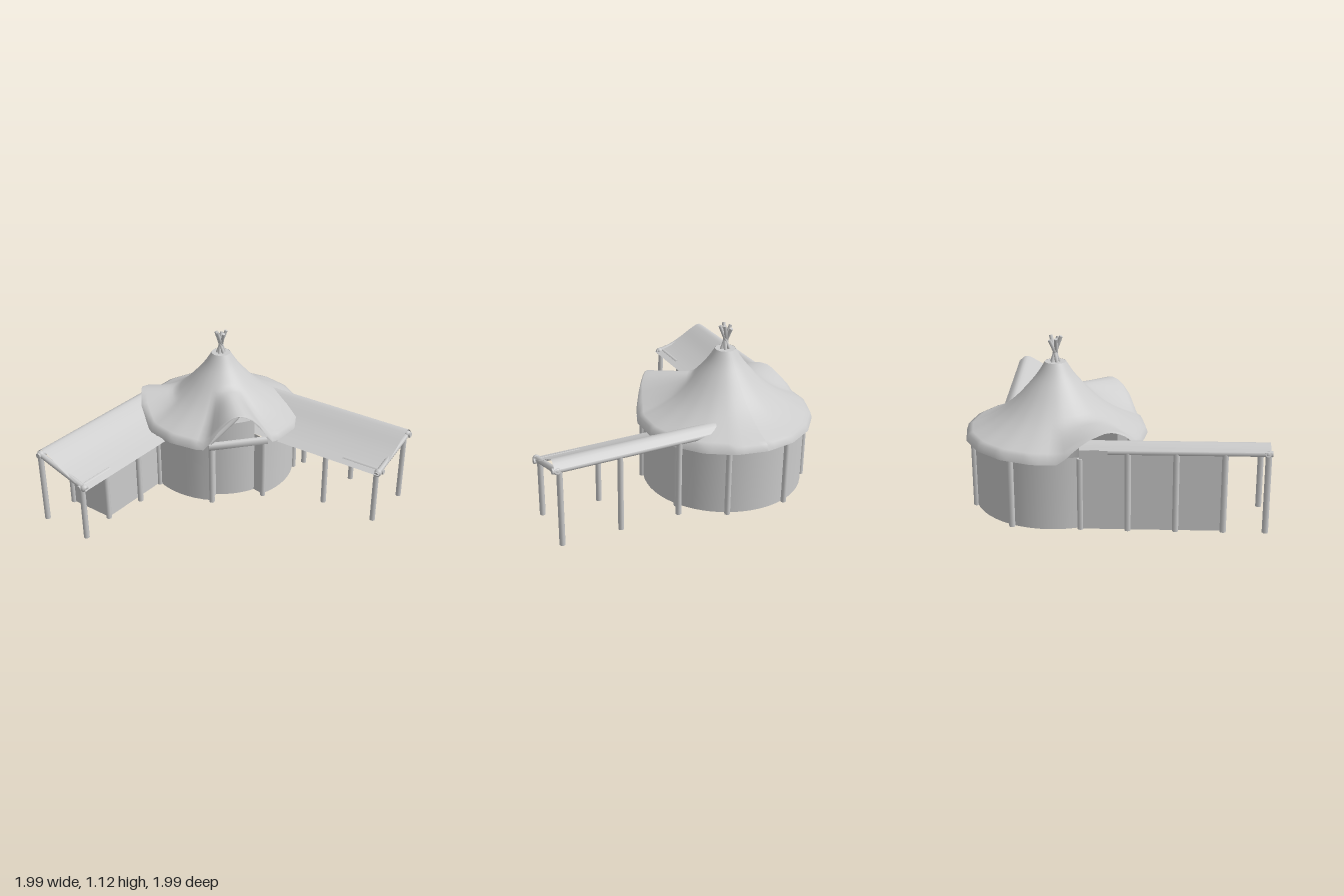
import * as THREE from 'three';

const CX = 0.39, CZ = -0.395, DEG = Math.PI / 180;
const mat = new THREE.MeshStandardMaterial({ color: 0xcccccc, side: THREE.DoubleSide });
const V = (x, y, z) => new THREE.Vector3(x, y, z);
const polar = (deg, r, y) => V(CX + r * Math.cos(deg * DEG), y, CZ + r * Math.sin(deg * DEG));

function add(parent, name, geo) {
  const m = new THREE.Mesh(geo, mat);
  m.name = name;
  parent.add(m);
  return m;
}

// Surface sampled from f(u, v), both 0..1
function sheet(nu, nv, f) {
  const pos = [], idx = [];
  for (let i = 0; i <= nu; i++)
    for (let j = 0; j <= nv; j++) pos.push(...f(i / nu, j / nv).toArray());
  for (let i = 0; i < nu; i++)
    for (let j = 0; j < nv; j++) {
      const a = i * (nv + 1) + j, b = a + nv + 1;
      idx.push(a, a + 1, b, b, a + 1, b + 1);
    }
  const g = new THREE.BufferGeometry();
  g.setAttribute('position', new THREE.Float32BufferAttribute(pos, 3));
  g.setIndex(idx);
  g.computeVertexNormals();
  return g;
}

// Round timber between two points
function pole(parent, name, a, b, r = 0.02) {
  const d = b.clone().sub(a);
  const m = add(parent, name, new THREE.CylinderGeometry(r, r, d.length(), 8));
  m.position.copy(a).add(b).multiplyScalar(0.5);
  m.quaternion.setFromUnitVectors(V(0, 1, 0), d.normalize());
}
const post = (parent, name, x, z, h) => pole(parent, name, V(x, 0, z), V(x, h, z));

// Conical roof with an 18-sided eave, lifted over the entrance and the walled wing
const profile = new THREE.SplineCurve([
  [0.07, 0.95], [0.12, 0.87], [0.19, 0.785], [0.27, 0.70], [0.36, 0.625], [0.47, 0.56], [0.595, 0.505],
].map(p => new THREE.Vector2(...p)));
const bump = (a, mid, half) => {
  const d = Math.abs(a - mid) / half;
  return d < 1 ? Math.cos(d * Math.PI / 2) : 0;
};
function roofPoint(u, v) {
  const a = u * 360;
  const p = v < 0.999 ? profile.getPoint(Math.min(1, v / 0.95)) : new THREE.Vector2(0.61, 0.46);
  let r = p.x, y = p.y;
  y += Math.max(0, 0.71 + (0.6 - r) * 0.1 - y) * bump(a, 130, 24);
  y += Math.max(0, 0.63 - y) * bump(a, 235, 29);
  const flat = Math.cos(10 * DEG) / Math.cos((a % 20 - 10) * DEG);
  r *= 1 + (flat - 1) * v * v;
  // straight eave above the entrance
  if (Math.abs(a - 130) < 21) r = Math.min(r, 0.605 * Math.cos(21 * DEG) / Math.cos((a - 130) * DEG));
  return polar(a, r, y);
}

function hut() {
  const g = new THREE.Group();
  g.name = 'roundHut';
  add(g, 'conicalRoof', sheet(72, 20, roofPoint));
  const cap = add(g, 'roofCap', new THREE.CircleGeometry(0.07, 24));
  cap.rotation.x = -Math.PI / 2;
  cap.position.set(CX, 0.949, CZ);

  // walls, open at the entrance and towards the walled wing
  for (const [from, to] of [[250, 470], [150, 199]])
    add(g, 'roundWall', sheet(Math.ceil((to - from) / 7), 1, (u, v) =>
      polar(from + (to - from) * u, 0.555, 0.005 + 0.48 * v)));
  for (const a of [-64, -20, 24, 60, 110, 150, 199, 250]) {
    const p = polar(a, 0.562, 0);
    post(g, 'wallPost', p.x, p.z, 0.48);
  }

  // recessed entrance: inner panel, side returns, rafter
  add(g, 'entrancePanel', sheet(12, 1, (u, v) => polar(112 + 36 * u, 0.47, 0.005 + 0.6 * v)));
  for (const s of [-1, 1])
    add(g, 'entranceReturn', sheet(1, 1, (u, v) =>
      polar(130 + s * (18 + 2 * u), 0.47 + 0.085 * u, 0.005 + 0.48 * v)));
  pole(g, 'archRafter', polar(151, 0.58, 0.51), polar(130, 0.52, 0.685));
  // eave board across the entrance
  add(g, 'entranceLintel', sheet(1, 3, (u, v) => {
    const k = Math.round(v * 3), p = polar(109, 1, 0).lerp(polar(151, 1, 0), u);
    const r = [0.56, 0.59, 0.605, 0.55][k], y = [0.5, 0.5, 0.46, 0.46][k];
    return V(CX + (p.x - CX) * r, y, CZ + (p.z - CZ) * r);
  }));

  // crossed poles at the peak
  for (let i = 0; i < 5; i++) {
    const a = i * 72 + 20, top = 1.12 - 0.012 * (i % 3);
    pole(g, 'peakPole', polar(a, 0.045, 0.9), polar(a + 165, 0.04, top), 0.012);
  }
  return g;
}

// Lean-to roof cross-section: [across, height], low eave to high eave
const section = new THREE.SplineCurve([
  [0, 0.405], [0.22, 0.44], [0.48, 0.495], [0.72, 0.56], [0.88, 0.588], [1, 0.545],
].map(p => new THREE.Vector2(...p)));

// at(across, y, along) gives a point; along runs from the outer end (0) to the hut (1)
function wing(name, at, lowPosts, highPosts) {
  const g = new THREE.Group();
  g.name = name;
  add(g, 'wingRoof', sheet(1, 16, (s, t) => {
    const p = section.getPoint(t);
    return at(p.x, p.y, s);
  }));
  pole(g, 'lowEaveBeam', at(0.13, 0.411, -0.01), at(0.13, 0.411, 0.25), 0.018);
  pole(g, 'highEaveBeam', at(0.95, 0.53, -0.01), at(0.95, 0.53, 0.85));
  pole(g, 'endBeam', at(0.02, 0.405, 0.015), at(1, 0.535, 0.015));
  for (const [u, y] of [[0.07, 0.41], [0.95, 0.53]])
    add(g, 'beamJoint', new THREE.SphereGeometry(0.027, 10, 8)).position.copy(at(u, y, 0.015));
  for (const s of lowPosts) { const p = at(0.1, 0, s); post(g, 'lowPost', p.x, p.z, 0.41); }
  for (const s of highPosts) { const p = at(0.95, 0, s); post(g, 'highPost', p.x, p.z, 0.53); }
  return g;
}

export function createModel() {
  const model = new THREE.Group();
  model.name = 'hutWithTwoWings';
  model.add(hut());

  // open wing towards the front
  const frontAt = (u, y, s) => V(0.365 + 0.46 * u - 0.045 * s, y, 0.98 - 1.22 * s);
  model.add(wing('openWing', frontAt, [0.03, 0.36], [0.03, 0.36, 0.7]));

  // walled wing towards the side
  const sideAt = (u, y, s) => V(-0.975 + 1.175 * s, y, -0.5 - 0.455 * u);
  const side = wing('walledWing', sideAt, [0.01, 0.49], [0.01, 0.235, 0.49, 0.745]);
  add(side, 'backWall', sheet(1, 1, (u, v) => sideAt(0.95, 0.005 + 0.53 * v, 0.235 + 0.765 * u)));
  add(side, 'frontWall', sheet(1, 1, (u, v) => sideAt(0.18, 0.005 + 0.42 * v, 0.235 + 0.485 * u)));
  add(side, 'endWall', sheet(4, 1, (u, v) =>
    sideAt(0.18 + 0.77 * u, 0.005 + (0.42 + 0.11 * u) * v, 0.235)));
  const corner = sideAt(0.18, 0, 0.235);
  post(side, 'cornerPost', corner.x, corner.z, 0.42);
  model.add(side);
  return model;
}
